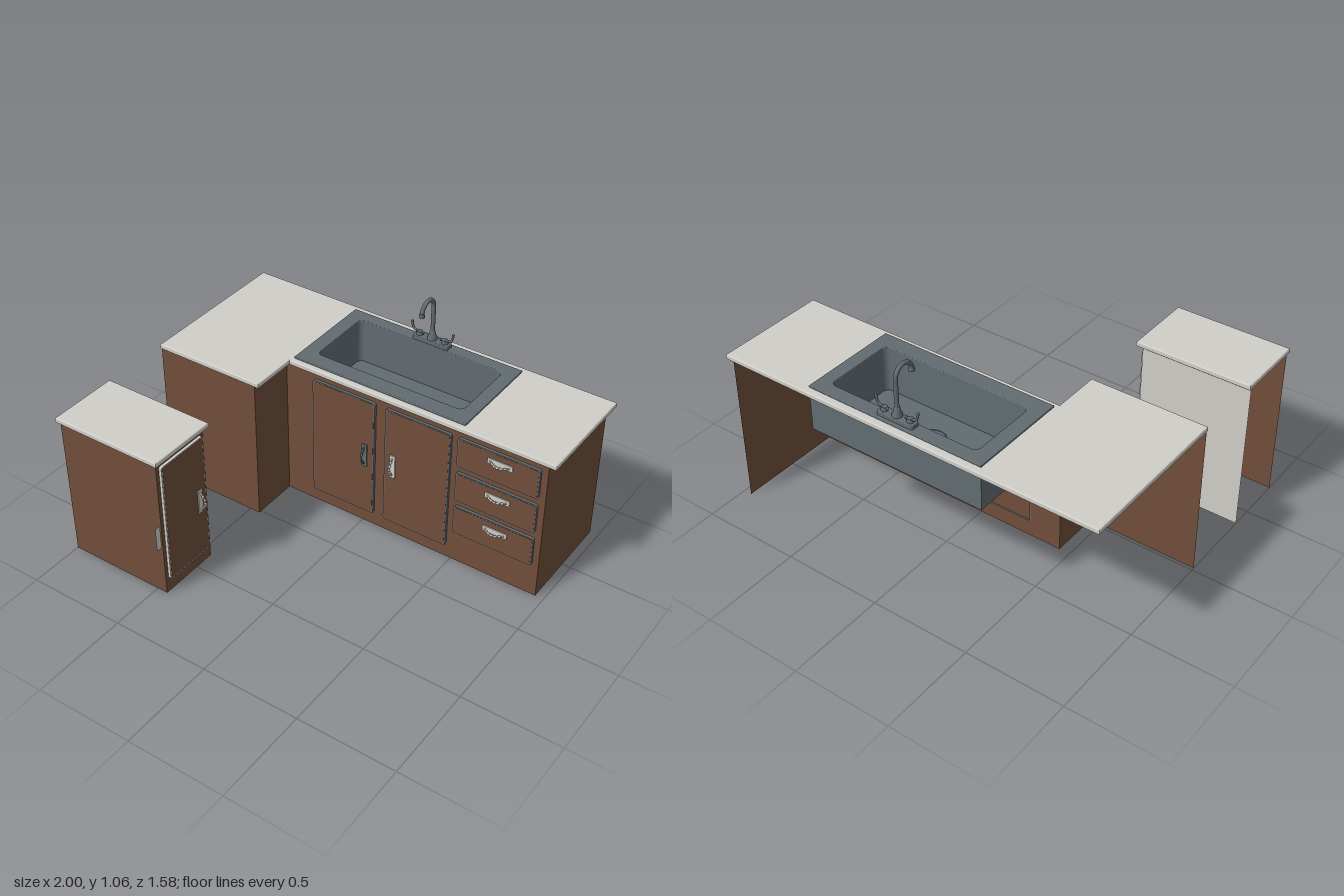
import * as THREE from 'three';

export function createModel() {
  const root = new THREE.Group();
  const mat = (name, color, side = THREE.FrontSide) =>
    Object.assign(new THREE.MeshStandardMaterial({ color, side }), { name });
  const wood = mat('brown wood', 0x704e39, THREE.DoubleSide);
  const stone = mat('pale stone', 0xd0cec8, THREE.DoubleSide);
  const plate = mat('pale stone single sided', 0xd0cec8);
  const steel = mat('grey steel', 0x626c71);

  const add = (name, geo, material, parent = root) => {
    const m = new THREE.Mesh(geo, material);
    m.name = name;
    parent.add(m);
    return m;
  };
  const group = (name, x, y, z, parent = root) => {
    const g = new THREE.Group();
    g.name = name;
    g.position.set(x, y, z);
    parent.add(g);
    return g;
  };
  const poly = pts => new THREE.Shape(pts.map(p => new THREE.Vector2(...p)));
  const rect = (x0, y0, x1, y1) => poly([[x0, y0], [x1, y0], [x1, y1], [x0, y1]]);
  const roundRect = (x0, y0, x1, y1, r) => {
    const s = new THREE.Shape();
    s.absarc(x1 - r, y1 - r, r, 0, Math.PI / 2);
    s.absarc(x0 + r, y1 - r, r, Math.PI / 2, Math.PI);
    s.absarc(x0 + r, y0 + r, r, Math.PI, Math.PI * 1.5);
    s.absarc(x1 - r, y0 + r, r, Math.PI * 1.5, Math.PI * 2);
    s.closePath();
    return s;
  };
  // Horizontal slab from a plan drawn in (x, -z)
  const slab = (shape, y0, y1, bevel = 0) =>
    new THREE.ExtrudeGeometry(shape, {
      depth: y1 - y0 - 2 * bevel, bevelEnabled: bevel > 0, bevelThickness: bevel,
      bevelSize: bevel, bevelOffset: -bevel, bevelSegments: 3, curveSegments: 6,
    }).rotateX(-Math.PI / 2).translate(0, y0 + bevel, 0);

  // Thin cabinet walls, optionally with openings
  const wallZ = (name, x0, x1, z, material = wood, holes = []) => {
    const s = rect(x0, 0, x1, 0.765);
    s.holes = holes;
    add(name, new THREE.ShapeGeometry(s).translate(0, 0, z), material);
  };
  const wallX = (name, z0, z1, x, holes = []) => {
    const s = rect(-z1, 0, -z0, 0.765);
    s.holes = holes;
    add(name, new THREE.ShapeGeometry(s).rotateY(Math.PI / 2).translate(x, 0, 0), wood);
  };

  // Raised door or drawer front with a trim edge, facing +z
  const front = (name, x, y, z, w, h, trim, parent = root) => {
    const g = group(name, x, y, z, parent);
    const t = 0.006;
    const ring = roundRect(-w / 2, -h / 2, w / 2, h / 2, 0.012);
    ring.holes.push(roundRect(-w / 2 + t, -h / 2 + t, w / 2 - t, h / 2 - t, 0.008));
    const opt = { depth: 0.014, bevelEnabled: false, curveSegments: 4 };
    add(name + 'Trim', new THREE.ExtrudeGeometry(ring, opt), trim, g);
    const face = roundRect(-w / 2 + t, -h / 2 + t, w / 2 - t, h / 2 - t, 0.008);
    add(name + 'Face', new THREE.ExtrudeGeometry(face, { ...opt, depth: 0.006 }).translate(0, 0, 0.009), wood, g);
    return g;
  };

  // Pull handle: back plate, bowed grip and beads
  const bow = new THREE.QuadraticBezierCurve3(
    new THREE.Vector3(0, -0.05, 0.002), new THREE.Vector3(0, 0, 0.058), new THREE.Vector3(0, 0.05, 0.002));
  const handle = (parent, x, y, material, flat = false) => {
    const g = group('handle', x, y, 0.015, parent);
    if (flat) g.rotation.z = Math.PI / 2;
    add('handlePlate', new THREE.BoxGeometry(0.029, 0.127, 0.005).translate(0, 0, 0.0025), material, g);
    add('handleGrip', new THREE.TubeGeometry(bow, 14, 0.004, 8), material, g);
    for (let i = 1; i <= 5; i++) {
      const p = bow.getPoint(i / 6);
      add('handleBead', new THREE.SphereGeometry(0.0065, 10, 8).translate(p.x, p.y, p.z), material, g);
    }
  };

  // Main cabinet: doors and drawers set over openings in the front wall
  const fronts = [
    ['leftDoor', -0.285, 0.075, 0.065, 0.725],
    ['rightDoor', 0.123, 0.075, 0.473, 0.725],
    ['topDrawer', 0.508, 0.567, 0.925, 0.725],
    ['middleDrawer', 0.508, 0.37, 0.925, 0.53],
    ['bottomDrawer', 0.508, 0.178, 0.925, 0.335],
  ];
  const inset = 0.008;
  wallZ('cabinetFront', -0.445, 0.957, -0.237, wood,
    fronts.map(([, x0, y0, x1, y1]) => rect(x0 + inset, y0 + inset, x1 - inset, y1 - inset)));
  wallX('cabinetEnd', -0.787, -0.237, 0.957);
  wallX('cornerSide', -0.237, 0.015, -0.445);
  wallZ('cornerFront', -1, -0.445, 0.015);
  for (const [name, x0, y0, x1, y1] of fronts) {
    const g = front(name, (x0 + x1) / 2, (y0 + y1) / 2, -0.237, x1 - x0, y1 - y0, steel);
    if (name === 'leftDoor') handle(g, 0.124, 0.012, steel);
    else if (name === 'rightDoor') handle(g, -0.127, 0.012, stone);
    else handle(g, 0.013, 0.028, stone, true);
  }

  // Separate cabinet with a side-facing door
  wallZ('islandFront', -1, -0.445, 0.718);
  wallZ('islandBack', -1, -0.445, 0.396, stone);
  wallX('islandSide', 0.396, 0.718, -0.445, [rect(-0.69, 0.083, -0.422, 0.717)]);
  const island = front('islandDoor', -0.445, 0.4, 0.556, 0.286, 0.65, stone);
  island.rotation.y = Math.PI / 2;
  handle(island, 0.095, -0.017, stone);
  add('loosePlate', new THREE.PlaneGeometry(0.031, 0.127).rotateY(Math.PI / 2)
    .translate(-0.415, 0.383, 0.773), plate);

  // Countertops
  const top = poly([[-1, -0.025], [-0.415, -0.025], [-0.415, 0.218], [1, 0.218], [1, 0.79], [-1, 0.79]]);
  top.holes.push(rect(-0.395, 0.255, 0.52, 0.745));
  add('countertop', slab(top, 0.76, 0.787, 0.006), stone);
  add('islandTop', slab(rect(-1, -0.748, -0.415, -0.385), 0.76, 0.787, 0.006), stone);

  // Sink: thick walls with a rounded basin and a stepped base
  const walls = rect(-0.405, 0.245, 0.53, 0.755);
  walls.holes.push(roundRect(-0.332, 0.328, 0.463, 0.688, 0.03));
  add('sinkWalls', slab(walls, 0.56, 0.797, 0.004), steel);
  add('sinkBase', slab(roundRect(-0.345, 0.312, 0.475, 0.7, 0.02), 0.515, 0.562), steel);
  for (const r of [0.05, 0.069]) {
    add('drainRing', new THREE.TorusGeometry(r, 0.003, 6, 36).rotateX(Math.PI / 2)
      .translate(0.062, 0.562, -0.505), steel);
  }

  // Tap: base, stem, hooked spout and two levers
  const tap = group('tap', 0.062, 0.795, -0.717);
  add('tapBase', slab(roundRect(-0.098, -0.025, 0.098, 0.025, 0.012), 0, 0.024, 0.004), steel, tap);
  add('tapCollar', new THREE.LatheGeometry(
    [[0.024, 0.02], [0.024, 0.034], [0.018, 0.042], [0.016, 0.06], [0.01, 0.068]]
      .map(p => new THREE.Vector2(...p)), 20), steel, tap);
  const hook = [[0.02, 0], [0.1, 0], [0.19, 0]];
  for (let i = 0; i <= 8; i++) {
    const a = Math.PI * (1 - i / 8);
    hook.push([0.207 + 0.051 * Math.sin(a), 0.052 + 0.052 * Math.cos(a)]);
  }
  const path = new THREE.CatmullRomCurve3(hook.map(([y, z]) => new THREE.Vector3(0, y, z)));
  add('spout', new THREE.TubeGeometry(path, 50, 0.0105, 12), steel, tap);
  add('nozzle', new THREE.CylinderGeometry(0.012, 0.014, 0.022, 16).translate(0, 0.206, 0.104), steel, tap);
  for (const s of [-1, 1]) {
    add('leverKnob', new THREE.CylinderGeometry(0.014, 0.018, 0.022, 16).translate(s * 0.07, 0.031, 0), steel, tap);
    const lever = new THREE.CatmullRomCurve3([[0.045, 0.036], [0.08, 0.038], [0.103, 0.046], [0.111, 0.064], [0.114, 0.083]]
      .map(([x, y]) => new THREE.Vector3(s * x, y, 0)));
    add('lever', new THREE.TubeGeometry(lever, 18, 0.006, 8), steel, tap);
    const tip = lever.getPoint(1);
    add('leverTip', new THREE.SphereGeometry(0.0065, 10, 8).translate(tip.x, tip.y, tip.z), steel, tap);
  }
  return root;
}
